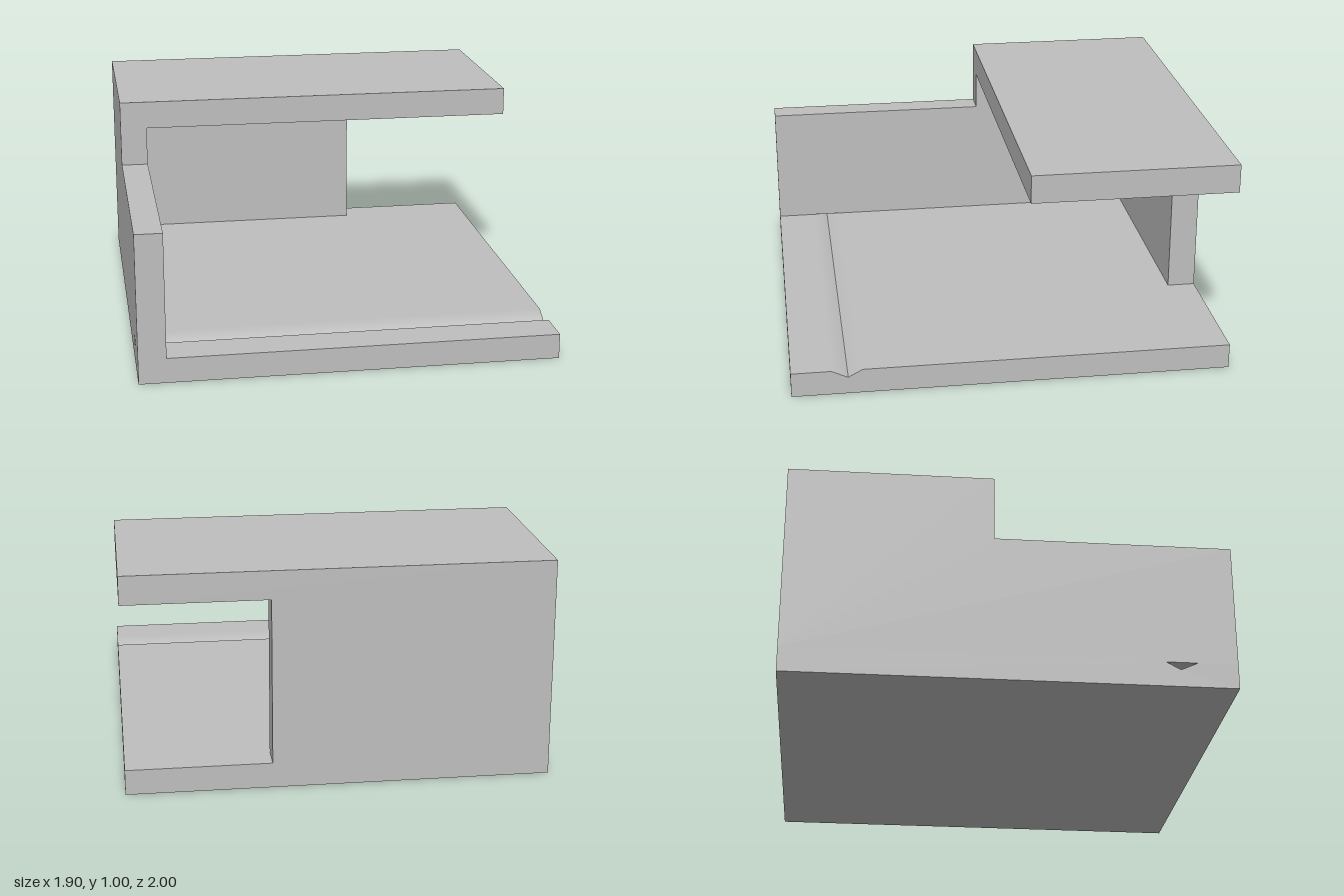
import * as THREE from 'three';

const FLOOR = 0.115, CEIL = 0.87, HEIGHT = 1;
const LEFT = 0.95, RIGHT = -0.95, INNER = -0.825;

// Extrude a (z, y) profile along x from x0 to x1
function extrudeX(points, x0, x1) {
  const shape = new THREE.Shape(points.map(([z, y]) => new THREE.Vector2(z, y)));
  const geometry = new THREE.ExtrudeGeometry(shape, { depth: x1 - x0, bevelEnabled: false });
  return geometry.rotateY(-Math.PI / 2).translate(x1, 0, 0);
}

function block(x0, x1, y0, y1, z0, z1) {
  return new THREE.BoxGeometry(x1 - x0, y1 - y0, z1 - z0)
    .translate((x0 + x1) / 2, (y0 + y1) / 2, (z0 + z1) / 2);
}

export function createModel() {
  const model = new THREE.Group();
  model.name = 'openBracket';
  const grey = new THREE.MeshStandardMaterial({ color: 0xbfbfbf });
  grey.name = 'plain grey';

  const add = (name, geometry) => {
    const mesh = new THREE.Mesh(geometry, grey);
    mesh.name = name;
    model.add(mesh);
  };

  // Floor slab with a V groove running right through under the side wall
  const floor = extrudeX([
    [-1, 0], [1, 0], [1, FLOOR], [0.82, FLOOR], [0.745, 0.08], [0.68, FLOOR], [-1, FLOOR],
  ], RIGHT, LEFT);
  // Blend the groove's rims smoothly into the flat floor
  const { position, normal } = floor.attributes;
  for (let i = 0; i < position.count; i++) {
    if (normal.getY(i) > 0.1 && position.getY(i) > 0.1) normal.setXYZ(i, 0, 1, 0);
  }
  add('groovedFloor', floor);

  // Stepped side wall, low at the front and full height at the back
  add('sideWall', extrudeX([
    [-1, FLOOR], [1, FLOOR], [1, 0.69], [-0.07, 0.69], [-0.07, HEIGHT], [-1, HEIGHT],
  ], RIGHT, INNER));

  // Partial back wall and overhanging roof
  add('backWall', block(INNER, 0.3, FLOOR, CEIL, -1, -0.87));
  add('roof', block(INNER, LEFT, CEIL, HEIGHT, -1, -0.07));

  return model;
}
